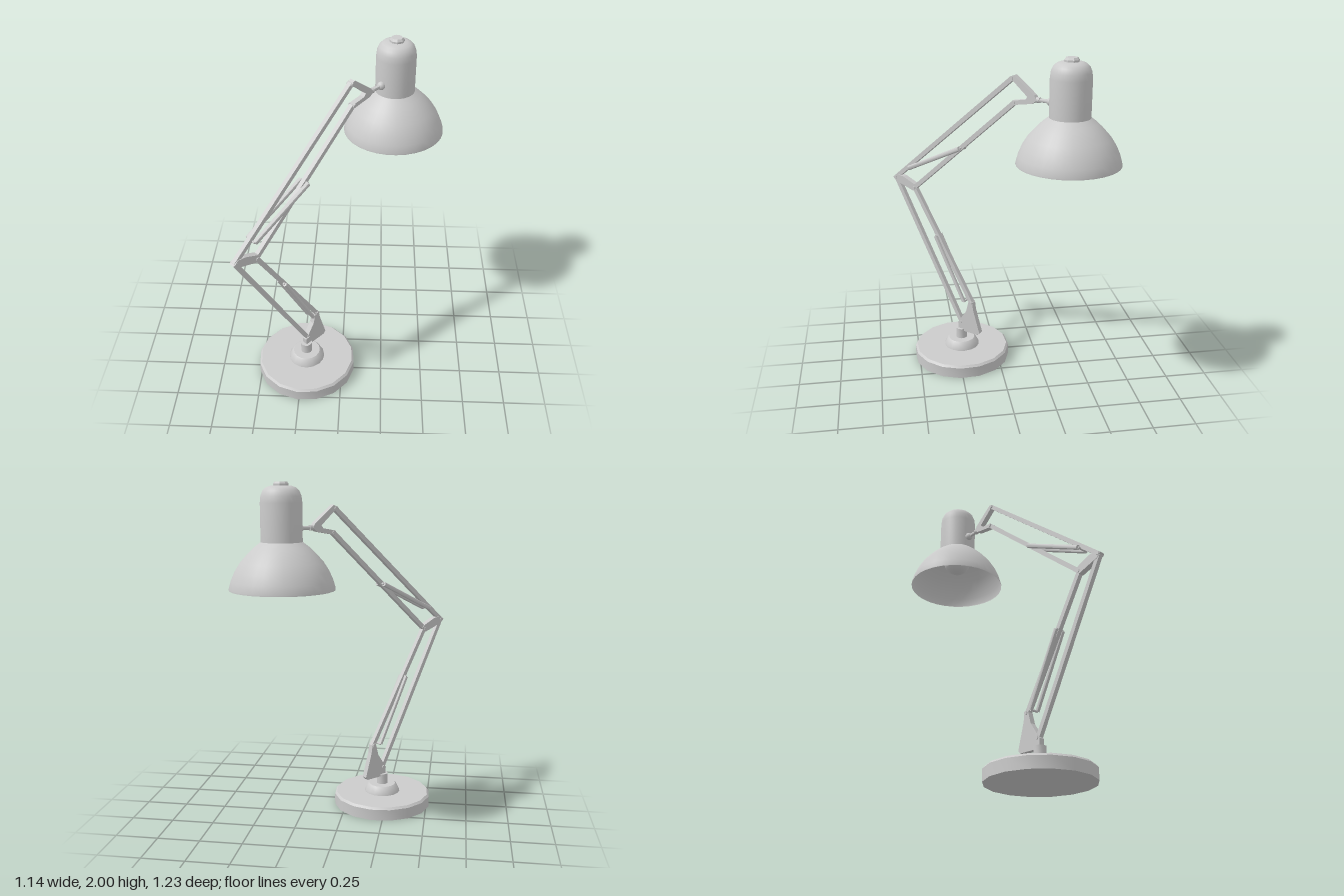
import * as THREE from 'three';
import { toCreasedNormals } from 'three/addons/utils/BufferGeometryUtils.js';

const grey = new THREE.MeshStandardMaterial({ color: 0xcccccc });
const greyOpen = new THREE.MeshStandardMaterial({ color: 0xcccccc, side: THREE.DoubleSide });

function add(parent, name, geometry, material = grey) {
  const mesh = new THREE.Mesh(geometry, material);
  mesh.name = name;
  parent.add(mesh);
  return mesh;
}

// Turned part from [radius, height] pairs listed from bottom to top
function turned(profile, sides) {
  const points = profile.map(([r, y]) => new THREE.Vector2(r, y));
  return toCreasedNormals(new THREE.LatheGeometry(points, sides), 0.6);
}

// Flat plate in the arm plane, centred on z = 0
function plate(corners, thickness) {
  const shape = new THREE.Shape(corners.map(([x, y]) => new THREE.Vector2(x, y)));
  return new THREE.ExtrudeGeometry(shape, { depth: thickness, bevelEnabled: false })
    .translate(0, 0, -thickness / 2);
}

// Place a Y-aligned geometry between two points of the arm plane
function between(parent, name, a, b, makeGeometry, z = 0) {
  const dx = b[0] - a[0], dy = b[1] - a[1];
  const mesh = add(parent, name, makeGeometry(Math.hypot(dx, dy)));
  mesh.position.set((a[0] + b[0]) / 2, (a[1] + b[1]) / 2, z);
  mesh.rotation.z = Math.atan2(-dx, dy);
  return mesh;
}

const bar = (length) => new THREE.BoxGeometry(0.026, length, 0.026);
const tube = (radius, sides) => (length) =>
  toCreasedNormals(new THREE.CylinderGeometry(radius, radius, length, sides), 0.9);

export function createModel() {
  const lamp = new THREE.Group();
  lamp.name = 'deskLamp';

  // Everything shares one vertical plane, turned about the base axis
  const stand = new THREE.Group();
  stand.name = 'stand';
  stand.position.set(-0.22, 0, 0.225);
  stand.rotation.y = 0.833;
  lamp.add(stand);

  // Weighted base, collar and post
  const base = add(stand, 'base', turned([[0, 0], [0.3, 0], [0.3, 0.067], [0.288, 0.08], [0, 0.08]], 16));
  base.rotation.y = -0.573;
  add(stand, 'collar', turned([[0.11, 0.078], [0.108, 0.09], [0.09, 0.123], [0.082, 0.13], [0, 0.13]], 16));
  add(stand, 'post', turned([[0.035, 0.125], [0.035, 0.195], [0, 0.195]], 12));

  // Joint plates
  add(stand, 'baseBracket', plate([[-0.012, 0.18], [0.135, 0.183], [0.15, 0.2], [0.105, 0.35],
    [0.098, 0.4], [0.072, 0.41], [0.05, 0.33], [-0.015, 0.235]], 0.032));
  add(stand, 'elbowPlate', plate([[-0.503, 1.13], [-0.475, 1.105], [-0.345, 1.065], [-0.318, 1.095],
    [-0.335, 1.11], [-0.42, 1.145], [-0.47, 1.152]], 0.034));
  add(stand, 'headBracket', plate([[0.37, 1.855], [0.4, 1.835], [0.488, 1.762], [0.475, 1.745],
    [0.39, 1.73], [0.395, 1.706], [0.52, 1.728], [0.548, 1.75], [0.53, 1.775], [0.4, 1.872]], 0.032));

  // Paired arm bars and their pivots
  const elbowOuter = [-0.485, 1.13], elbowInner = [-0.34, 1.085];
  const baseLow = [0.005, 0.24], baseHigh = [0.085, 0.395];
  const headHigh = [0.385, 1.853], headLow = [0.4, 1.72];
  between(stand, 'lowerArmOuter', elbowOuter, baseLow, bar);
  between(stand, 'lowerArmInner', elbowInner, baseHigh, bar);
  between(stand, 'upperArmOuter', elbowOuter, headHigh, bar);
  between(stand, 'upperArmInner', elbowInner, headLow, bar);
  for (const [x, y] of [elbowOuter, elbowInner, baseLow, baseHigh, headHigh, headLow]) {
    const pin = add(stand, 'pivotPin', tube(0.011, 8)(0.042));
    pin.rotation.x = Math.PI / 2;
    pin.position.set(x, y, 0);
  }

  // Spring tubes on both sides, with cross pins through the bars
  const springs = [
    { name: 'lowerSpring', a: [-0.17, 0.8], b: [0.04, 0.4], z: 0.025, r: 0.012 },
    { name: 'upperSpring', a: [-0.36, 1.215], b: [0.03, 1.4], z: 0.03, r: 0.014 },
  ];
  for (const { name, a, b, z, r } of springs) {
    for (const side of [-1, 1]) between(stand, name, a, b, tube(r, 8), side * z);
    for (const [x, y] of [a, b]) {
      const pin = add(stand, name + 'Pin', tube(0.007, 8)(2 * z));
      pin.rotation.x = Math.PI / 2;
      pin.position.set(x, y, 0);
    }
  }

  // Neck from the head bracket to the housing
  between(stand, 'neck', [0.53, 1.75], [0.64, 1.75], tube(0.011, 8));
  between(stand, 'neckSleeve', [0.515, 1.75], [0.56, 1.75], tube(0.016, 8));
  add(stand, 'neckBall', new THREE.SphereGeometry(0.024, 12, 8)).position.set(0.628, 1.75, 0);

  // Lamp head
  const head = new THREE.Group();
  head.name = 'head';
  head.position.x = 0.747;
  stand.add(head);
  add(head, 'shade', turned([[0.29, 1.425], [0.29, 1.432], [0.278, 1.475], [0.256, 1.525], [0.225, 1.575],
    [0.18, 1.625], [0.148, 1.655], [0.113, 1.682]], 32), greyOpen);
  add(head, 'housing', turned([[0.113, 1.68], [0.113, 1.89], [0.109, 1.925], [0.098, 1.952],
    [0.08, 1.969], [0.058, 1.977], [0, 1.98]], 32), greyOpen);
  add(head, 'cap', turned([[0.042, 1.965], [0.042, 1.988], [0.033, 2], [0, 2]], 8));
  add(head, 'bulb', new THREE.SphereGeometry(0.087, 20, 14)).position.y = 1.61;
  add(head, 'bulbSocket', tube(0.045, 16)(0.12)).position.y = 1.73;

  return lamp;
}
